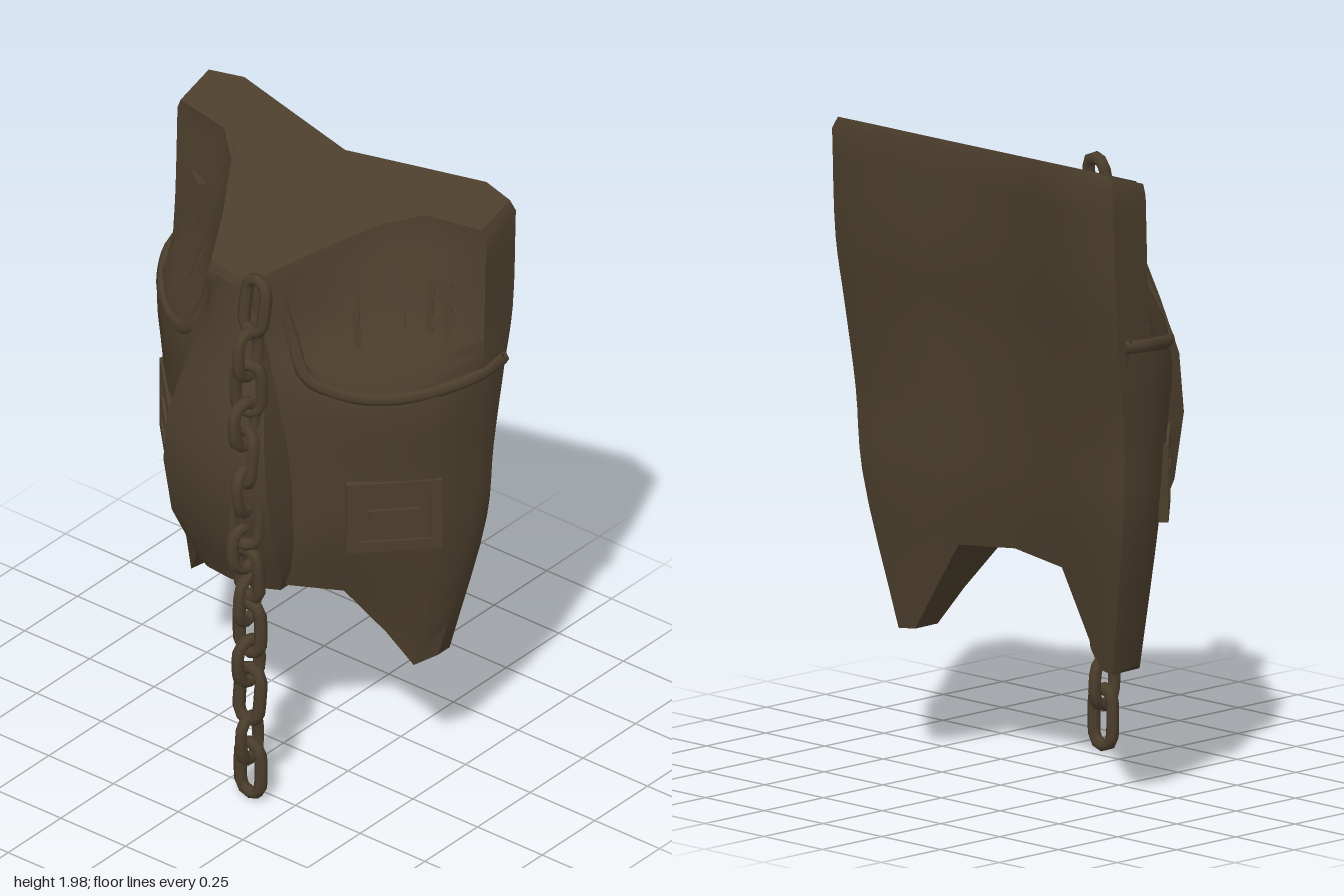
import * as THREE from 'three';
import { toCreasedNormals } from 'three/addons/utils/BufferGeometryUtils.js';

const hide = new THREE.MeshStandardMaterial({ color: 0x4b3e2c });
hide.name = 'dark brown';

const V = (x, y, z) => new THREE.Vector3(x, y, z);

function add(parent, name, geometry) {
  const mesh = new THREE.Mesh(geometry, hide);
  mesh.name = name;
  parent.add(mesh);
  return mesh;
}

// Closed skin over rings of points (bottom to top); each ladder lists the
// pairs of ring points that the end caps are laced across
function loft(rings, ladders, crease) {
  const n = rings[0].length;
  const pos = rings.flatMap(r => r.flatMap(p => [p.x, p.y, p.z]));
  const idx = [];
  for (let i = 0; i < rings.length - 1; i++) {
    for (let j = 0; j < n; j++) {
      const a = i * n + j, b = i * n + (j + 1) % n;
      idx.push(a, a + n, b, b, a + n, b + n);
    }
  }
  const top = (rings.length - 1) * n;
  for (const ladder of ladders) {
    for (let k = 0; k < ladder.length - 1; k++) {
      const [a, b] = ladder[k], [c, d] = ladder[k + 1];
      for (const [p, q, r] of [[a, b, d], [a, d, c]]) {
        if (p === q || q === r || p === r) continue;
        idx.push(top + p, top + q, top + r, p, r, q);
      }
    }
  }
  const g = new THREE.BufferGeometry();
  g.setAttribute('position', new THREE.Float32BufferAttribute(pos, 3));
  g.setIndex(idx);
  return toCreasedNormals(g, crease);
}

// Half sections run from the middle of the back, round the left side, to the middle of the front
const hemX = [0, 0.22, 0.395, 0.455, 0.475, 0.43, 0.365, 0.275, 0.18, 0];
const hemY = [0.73, 0.71, 0.425, 0.42, 0.44, 0.415, 0.53, 0.685, 0.735, 0.74];
const hemZ = [-0.19, -0.21, -0.22, -0.23, -0.15, -0.09, -0.04, 0.05, 0.19, 0.265];
const waist = [[0, -0.215], [0.25, -0.245], [0.46, -0.295], [0.555, -0.285], [0.572, -0.2],
  [0.515, -0.09], [0.41, 0.02], [0.28, 0.13], [0.17, 0.22], [0, 0.28]];
const chest = [[0, -0.235], [0.25, -0.265], [0.47, -0.31], [0.572, -0.295], [0.585, -0.2],
  [0.525, -0.07], [0.415, 0.04], [0.3, 0.13], [0.18, 0.22], [0, 0.29]];
const rim = [[0, -0.255], [0.25, -0.29], [0.48, -0.345], [0.585, -0.33], [0.6, -0.21],
  [0.53, -0.06], [0.42, 0.045], [0.3, 0.135], [0.17, 0.22], [0, 0.28]];
const cheek = [[0, -0.28], [0.25, -0.32], [0.48, -0.375], [0.597, -0.355], [0.597, -0.22],
  [0.46, -0.13], [0.36, -0.02], [0.23, 0.08], [0.12, 0.22], [0, 0.265]];
const brow = [[0, -0.3], [0.25, -0.35], [0.48, -0.4], [0.597, -0.37], [0.597, -0.23],
  [0.4, -0.2], [0.3, -0.11], [0.18, 0.08], [0.09, 0.25], [0, 0.265]];
const slopeY = z => Math.min(1.995, 1.8 + (0.265 - z) * 0.3);

function bodyGeometry() {
  const level = (half, y) => half.map(([x, z]) => V(x, y, z));
  const rows = [
    hemX.map((x, i) => V(x, hemY[i], hemZ[i])),
    level(waist, 0.9), level(chest, 1.15), level(rim, 1.42), level(cheek, 1.62),
    brow.map(([x, z]) => V(x, slopeY(z) - 0.035, z)),
  ];
  // Smooth each column upward
  const columns = hemX.map((_, j) => new THREE.CatmullRomCurve3(rows.map(r => r[j])).getPoints(20));
  const rings = columns[0].map((_, i) => columns.map(c => c[i]));
  // Narrow bevel along the top edge
  rings.push(brow.map(([x, z]) => V(x * 0.975, slopeY(z), z * 0.96 - 0.005)));
  const full = rings.map(half => half.concat(
    half.slice(1, -1).reverse().map(p => V(-p.x, p.y, p.z))));
  const left = [[0, 9], [1, 8], [1, 7], [2, 6], [2, 5], [3, 4]];
  const right = left.map(([a, b]) => [(18 - b) % 18, (18 - a) % 18]);
  return loft(full, [left, right], 0.75);
}

// Raised belly panel: [height, half width, front z]
function bellyGeometry() {
  const rows = [[0.72, 0.16, 0.255], [0.79, 0.185, 0.28], [0.9, 0.2, 0.33], [1.1, 0.2, 0.37],
    [1.28, 0.185, 0.365], [1.45, 0.15, 0.32], [1.6, 0.11, 0.28], [1.78, 0.08, 0.268]];
  return loft(rows.map(([y, w, z]) => [[1, 0.16], [1, z - 0.045], [0.6, z - 0.01], [0, z],
    [-0.6, z - 0.01], [-1, z - 0.045], [-1, 0.16]].map(([k, d]) => V(k * w, y, d))),
  [[[0, 6], [1, 5], [2, 4], [3, 3]]], 0.8);
}

// Rectangular frame of four bars, facing +z
function frame(parent, name, w, h, bar) {
  const g = new THREE.Group();
  g.name = name;
  for (const s of [-1, 1]) {
    add(g, 'frameUpright', new THREE.BoxGeometry(bar, h, 0.03)).position.x = s * (w - bar) / 2;
    add(g, 'frameCrossbar', new THREE.BoxGeometry(w, bar, 0.03)).position.y = s * (h - bar) / 2;
  }
  parent.add(g);
  return g;
}

// Details of one side; s is +1 for left, -1 for right
function addSide(root, s) {
  const side = new THREE.Group();
  side.name = s > 0 ? 'leftDetails' : 'rightDetails';
  root.add(side);

  // Sagging fold under the cheek
  const fold = new THREE.CatmullRomCurve3([
    V(0.59, 1.46, -0.32), V(0.592, 1.455, -0.21), V(0.52, 1.43, -0.07), V(0.42, 1.415, 0.035),
    V(0.31, 1.43, 0.115), V(0.22, 1.48, 0.165), V(0.165, 1.59, 0.16), V(0.12, 1.74, 0.17),
  ].map(p => V(p.x * s, p.y, p.z)));
  add(side, 'cheekFold', new THREE.TubeGeometry(fold, 28, 0.022, 6));
  const tip = add(side, 'foldTip', new THREE.ConeGeometry(0.035, 0.09, 4));
  tip.position.set(s * 0.585, 1.455, -0.3);
  tip.rotation.z = -s * 0.6;

  // Soft creases on the cheek
  for (const [x, z] of [[0.4, -0.08], [0.3, 0.02]]) {
    const crease = new THREE.CatmullRomCurve3([
      V(s * (x + 0.05), 1.46, z + 0.03), V(s * x, 1.62, z), V(s * (x - 0.04), 1.78, z - 0.06)]);
    add(side, 'cheekCrease', new THREE.TubeGeometry(crease, 8, 0.013, 5));
  }

  // Narrow upright buckle
  const slit = frame(side, 'cheekBuckle', 0.075, 0.28, 0.022);
  slit.position.set(s * 0.48, 1.61, -0.148);
  slit.rotation.set(-0.2, s * 0.6, 0, 'YXZ');

  // Lower pouch with a square frame and clasp
  const pouch = frame(side, 'pouchFrame', 0.29, 0.24, 0.035);
  pouch.position.set(s * 0.435, 1.0, 0.01);
  pouch.rotation.y = s * 0.8;
  add(pouch, 'pouchFlap', new THREE.BoxGeometry(0.26, 0.22, 0.012));
  add(pouch, 'pouchClasp', new THREE.BoxGeometry(0.15, 0.03, 0.03)).position.set(0, 0.01, 0.003);
}

// One oval chain link in the xy plane
function linkGeometry(halfWidth, halfLength) {
  const pts = [];
  for (let i = 0; i < 12; i++) {
    const a = i / 12 * Math.PI * 2;
    const straight = Math.sign(Math.round(Math.sin(a) * 9)) * (halfLength - halfWidth);
    pts.push(V(Math.cos(a) * halfWidth, Math.sin(a) * halfWidth + straight, 0));
  }
  return new THREE.TubeGeometry(new THREE.CatmullRomCurve3(pts, true), 16, 0.02, 6, true);
}

function addChain(root) {
  const chain = new THREE.Group();
  chain.name = 'chain';
  root.add(chain);
  const facing = linkGeometry(0.04, 0.088);
  const sideways = linkGeometry(0.046, 0.072);
  // Link centres from the bottom up: [x, y, z], facing and sideways in turn
  const centres = [[0.115, 0.118, 0.297], [0.115, 0.225, 0.302], [0.115, 0.38, 0.3], [0.115, 0.5, 0.307],
    [0.115, 0.615, 0.3], [0.115, 0.72, 0.312], [0.115, 0.81, 0.305], [0.12, 0.915, 0.33], [0.13, 1.02, 0.335],
    [0.135, 1.13, 0.35], [0.14, 1.25, 0.345], [0.135, 1.365, 0.35], [0.13, 1.48, 0.325],
    [0.125, 1.595, 0.322], [0.125, 1.75, 0.288]];
  centres.forEach((c, i) => {
    const mesh = add(chain, 'chainLink', i % 2 ? sideways : facing);
    mesh.position.set(...c);
    const loose = i > 6 && i < 13 ? 0.5 : 0.1;
    mesh.rotation.set(i === centres.length - 1 ? -0.12 : 0.1 * Math.sin(i * 2.3),
      (i % 2) * Math.PI / 2 + loose * Math.sin(i * 1.7), 0.08 * Math.sin(i * 3.1), 'ZXY');
  });
}

export function createModel() {
  const root = new THREE.Group();
  root.name = 'chainedArmour';
  add(root, 'body', bodyGeometry());
  add(root, 'bellyPanel', bellyGeometry());
  for (const s of [1, -1]) addSide(root, s);
  addChain(root);
  return root;
}
